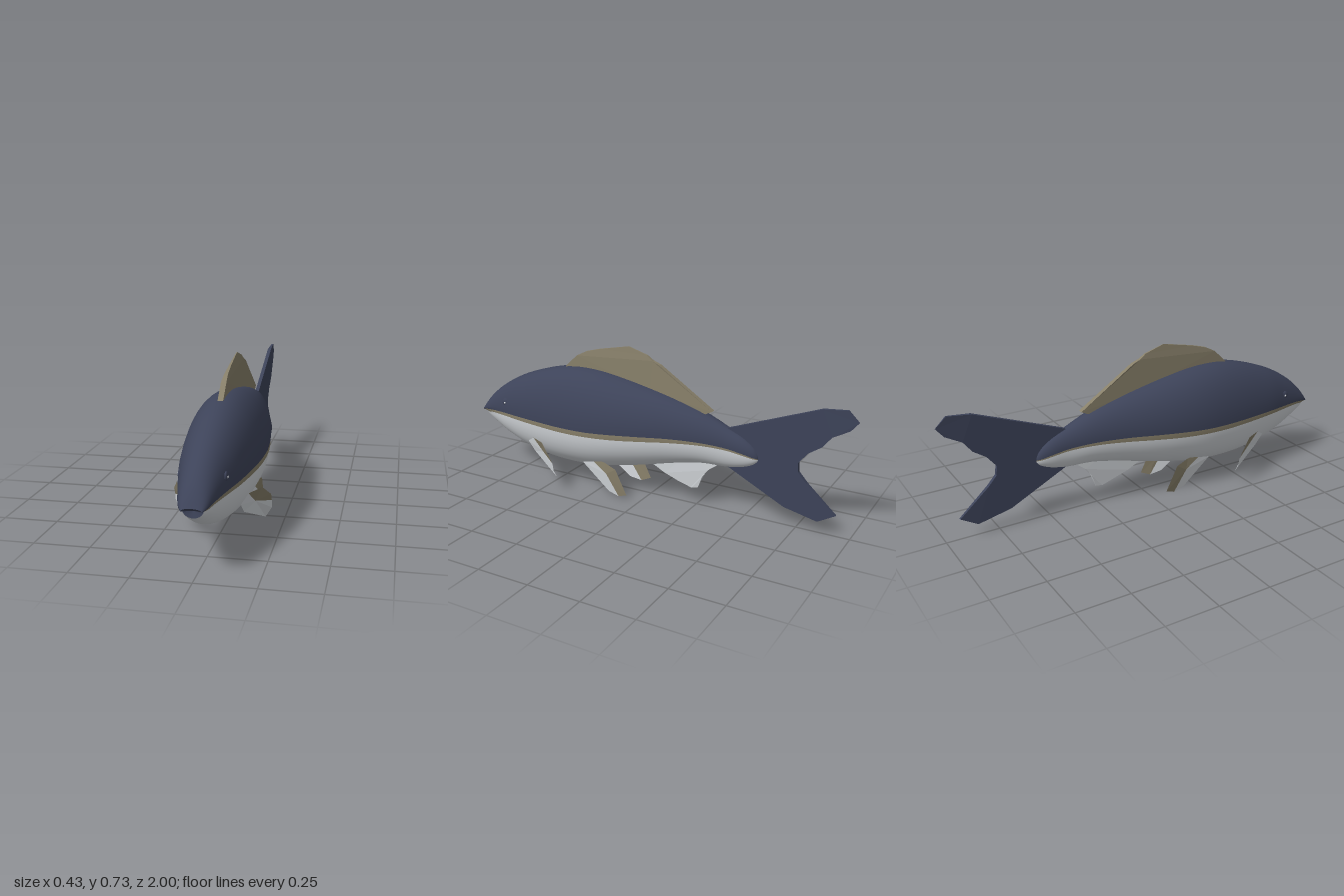
import * as THREE from 'three';

const mat = (name, color, double) => {
  const m = new THREE.MeshStandardMaterial({ color });
  m.name = name;
  if (double) m.side = THREE.DoubleSide;
  return m;
};

// Body stations from nose to tail: z, top, bottom, half width, stripe top, stripe bottom
const STATIONS = [
  [1.0, 0.298, 0.25, 0.042, 0.285, 0.279],
  [0.975, 0.335, 0.236, 0.056, 0.292, 0.282],
  [0.94, 0.375, 0.218, 0.068, 0.300, 0.288],
  [0.88, 0.425, 0.192, 0.084, 0.307, 0.293],
  [0.8, 0.475, 0.160, 0.104, 0.312, 0.296],
  [0.7, 0.522, 0.127, 0.128, 0.316, 0.297],
  [0.56, 0.568, 0.100, 0.150, 0.318, 0.296],
  [0.42, 0.594, 0.094, 0.165, 0.319, 0.295],
  [0.28, 0.593, 0.103, 0.171, 0.323, 0.299],
  [0.14, 0.573, 0.128, 0.162, 0.332, 0.306],
  [0.0, 0.545, 0.160, 0.140, 0.341, 0.317],
  [-0.14, 0.512, 0.195, 0.110, 0.348, 0.328],
  [-0.28, 0.470, 0.222, 0.080, 0.347, 0.333],
  [-0.4, 0.420, 0.226, 0.054, 0.336, 0.326],
  [-0.48, 0.385, 0.240, 0.041, 0.320, 0.312],
  [-0.53, 0.350, 0.259, 0.028, 0.305, 0.299],
  [-0.553, 0.320, 0.276, 0.015, 0.297, 0.293],
  [-0.56, 0.298, 0.288, 0.003, 0.293, 0.291],
];
const RINGS = 68, UPPER = 10, LOWER = 10, HALF = UPPER + 1 + LOWER, LOOP = HALF * 2;

function bodyRings() {
  const a = new THREE.CatmullRomCurve3(STATIONS.map(s => new THREE.Vector3(s[0], s[1], s[2])), false, 'catmullrom', 0.5);
  const b = new THREE.CatmullRomCurve3(STATIONS.map(s => new THREE.Vector3(s[3], s[4], s[5])), false, 'catmullrom', 0.5);
  const pos = [];
  for (let i = 0; i <= RINGS; i++) {
    const { x: z, y: top, z: bottom } = a.getPoint(i / RINGS);
    const { x: width, y: mid, z: low } = b.getPoint(i / RINGS);
    const dip = Math.asin(Math.min(0.9, (mid - low) / (mid - bottom)));
    for (let j = 0; j < LOOP; j++) {
      const k = j <= HALF ? j : LOOP - j;
      const ang = k <= UPPER
        ? (1 - k / UPPER) * Math.PI / 2
        : -dip - (k - UPPER - 1) / LOWER * (Math.PI / 2 - dip);
      const s = Math.sin(ang);
      const x = width * Math.cos(ang) * (j <= HALF ? 1 : -1);
      // the lower jaw sits a little behind the upper one
      const back = k > UPPER ? 0.028 * THREE.MathUtils.smoothstep(z, 0.8, 1) : 0;
      pos.push(x, mid + s * (s > 0 ? top - mid : mid - bottom), z - back);
    }
  }
  return pos;
}

function geometryOf(pos, index) {
  const g = new THREE.BufferGeometry();
  g.setAttribute('position', new THREE.Float32BufferAttribute(pos, 3));
  if (index) g.setIndex(index);
  g.computeVertexNormals();
  return g;
}

// One smooth skin; rows grouped as back, stripe and belly
function bodyGeometry(pos) {
  const index = [], groups = [];
  for (let j = 0; j < LOOP; j++) {
    const row = j < HALF ? j : LOOP - 1 - j;
    const start = index.length, n = (j + 1) % LOOP;
    for (let i = 0; i < RINGS; i++) {
      const p = i * LOOP + j, q = i * LOOP + n;
      index.push(p, q, p + LOOP, q, q + LOOP, p + LOOP);
    }
    groups.push([start, index.length - start, row < UPPER ? 0 : row === UPPER ? 1 : 2]);
  }
  const g = geometryOf(pos, index);
  groups.forEach(r => g.addGroup(...r));
  return g;
}

// Upright fin from a (z, y) outline; half(z, y) gives its half thickness
function blade(outline, half) {
  const shape = new THREE.Shape(outline.map(p => new THREE.Vector2(...p)));
  const g = new THREE.ExtrudeGeometry(shape, { depth: 1, bevelEnabled: false });
  g.rotateY(-Math.PI / 2).translate(0.5, 0, 0);
  const p = g.attributes.position;
  for (let i = 0; i < p.count; i++) p.setX(i, Math.sign(p.getX(i)) * half(p.getZ(i), p.getY(i)));
  g.computeVertexNormals();
  return g;
}

// Flat patch as a fan around its first corner, mirrored by side
function patch(points, side) {
  const pos = [];
  for (let i = 1; i < points.length - 1; i++) {
    const tri = [points[0], points[i], points[i + 1]];
    if (side < 0) tri.reverse();
    tri.forEach(([x, y, z]) => pos.push(x * side, y, z));
  }
  return geometryOf(pos);
}

export function createModel() {
  const group = new THREE.Group();
  group.name = 'fish';
  const navy = mat('navy', 0x3d4359);
  const tan = mat('tan', 0x88806a, true);
  const white = mat('paleGrey', 0xd2d6da, true);
  const add = (name, geometry, material, parent = group) => {
    const m = new THREE.Mesh(geometry, material);
    m.name = name;
    parent.add(m);
    return m;
  };

  const rings = bodyRings();
  add('body', bodyGeometry(rings), [navy, tan, white]);

  // mouth hollow closing the front ring
  const mouth = [];
  for (let j = 0; j < LOOP; j++) {
    const n = (j + 1) % LOOP;
    mouth.push(0, 0.278, 0.965, ...rings.slice(n * 3, n * 3 + 3), ...rings.slice(j * 3, j * 3 + 3));
  }
  add('mouth', geometryOf(mouth), navy);

  // fins on the centre line
  add('dorsalFin', blade([
    [0.48, 0.585], [0.41, 0.65], [0.36, 0.675], [0.28, 0.697], [0.12, 0.73], [0.02, 0.7], [-0.01, 0.678],
    [-0.05, 0.662], [-0.325, 0.482], [-0.27, 0.455], [0, 0.53], [0.2, 0.57], [0.38, 0.58],
  ], (z, y) => Math.max(0.0015, Math.min(0.012, (0.735 - y) * 0.14))), tan);

  add('tailFin', blade([
    [-0.4, 0.415], [-0.6, 0.49], [-0.84, 0.58], [-0.95, 0.592], [-1, 0.545], [-0.965, 0.502], [-0.89, 0.462],
    [-0.85, 0.41], [-0.79, 0.37], [-0.745, 0.315], [-0.75, 0.27], [-0.79, 0.225], [-0.93, 0.1],
    [-0.85, 0.055], [-0.69, 0.09], [-0.56, 0.155], [-0.4, 0.235],
  ], z => Math.max(0.0015, Math.min(0.009, (1 + z) * 0.09))), navy);

  add('analFin', blade([
    [0, 0.17], [-0.08, 0.128], [-0.15, 0.1], [-0.22, 0.079], [-0.255, 0.086], [-0.28, 0.15],
    [-0.31, 0.19], [-0.37, 0.235], [-0.2, 0.25],
  ], (z, y) => Math.max(0.0015, Math.min(0.009, (y - 0.07) * 0.12))), white);

  for (const side of [1, -1]) {
    const label = side > 0 ? 'left' : 'right';

    // front paired fin, tan above and pale below
    const pectoral = new THREE.Group();
    pectoral.name = label + 'PectoralFin';
    group.add(pectoral);
    const fold = [0.16, 0.172, 0.53], edge = [0.215, 0.145, 0.435];
    add('upperPectoral', patch([fold, edge, [0.215, 0.18, 0.455], [0.186, 0.23, 0.515], [0.143, 0.228, 0.6]], side), tan, pectoral);
    add('lowerPectoral', patch([fold, [0.143, 0.228, 0.6], [0.12, 0.195, 0.65], [0.125, 0.148, 0.605],
      [0.188, 0.065, 0.43], [0.215, 0.11, 0.43], edge], side), white, pectoral);

    // rear paired fin
    const pelvic = new THREE.Group();
    pelvic.name = label + 'PelvicFin';
    group.add(pelvic);
    const ridge = [[0.1, 0.165, 0.29], [0.112, 0.105, 0.19], [0.113, 0.05, 0.135], [0.112, 0, 0.12]];
    add('rearPelvic', patch([ridge[1], ridge[0], [0.108, 0.16, 0.2], [0.122, 0.142, 0.13],
      [0.121, 0.02, 0.07], ridge[3], ridge[2]], side), tan, pelvic);
    add('frontPelvic', patch([ridge[1], ridge[2], ridge[3], [0.104, 0.012, 0.18],
      [0.093, 0.13, 0.335], [0.094, 0.155, 0.33], ridge[0]], side), white, pelvic);

    // eye with a tiny glint
    const eye = add(label + 'Eye', new THREE.SphereGeometry(0.022, 16, 12), navy);
    eye.scale.x = 0.4;
    eye.position.set(side * 0.091, 0.365, 0.805);
    const glint = add(label + 'EyeGlint', new THREE.SphereGeometry(0.006, 10, 8), white);
    glint.position.set(side * 0.097, 0.365, 0.807);
  }
  return group;
}
